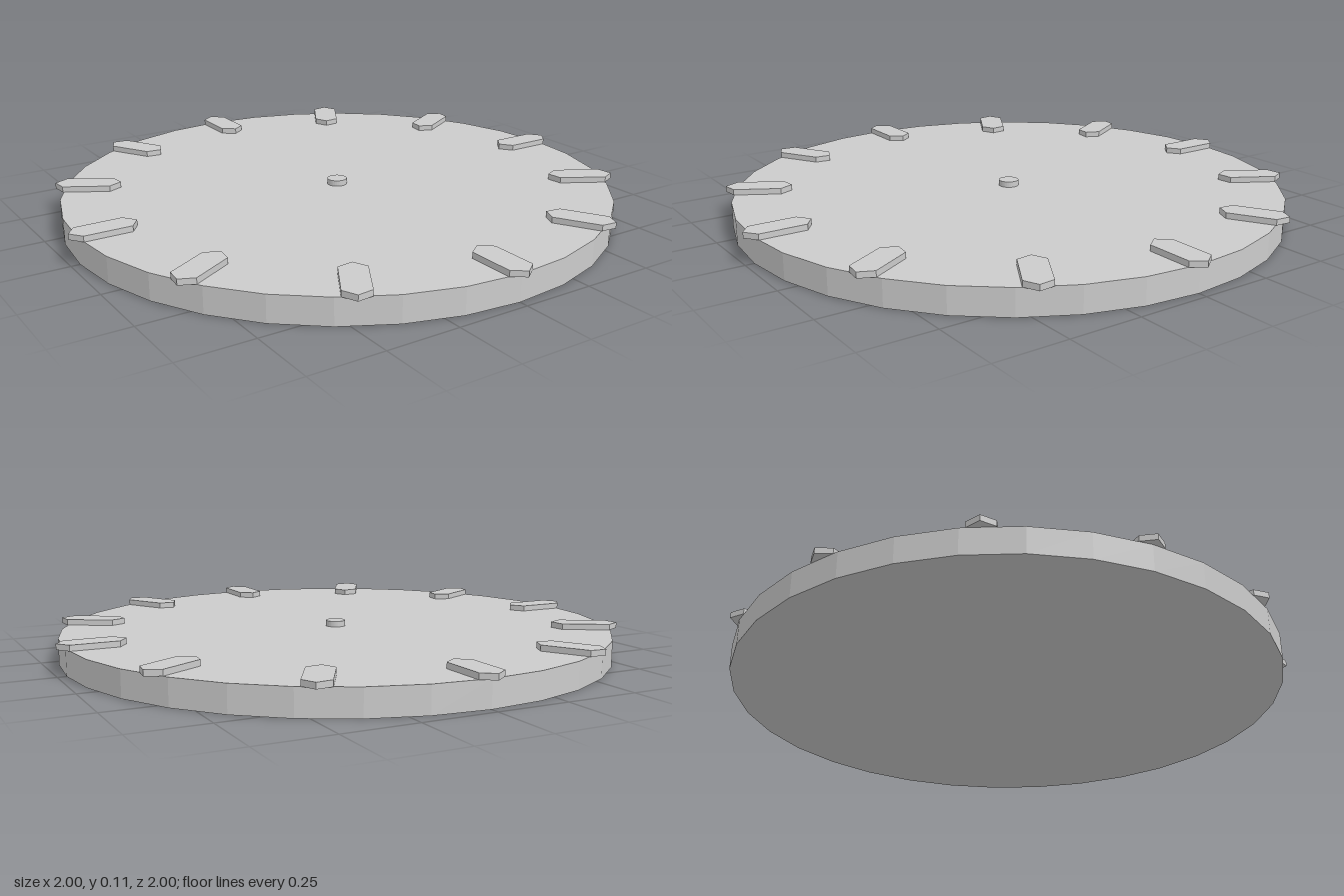
import * as THREE from 'three';

const material = new THREE.MeshStandardMaterial({ color: 0xcccccc, flatShading: true });
const DISC_HEIGHT = 0.09;
const RAISED = 0.02;

function addPart(group, name, geometry, y = 0) {
  const mesh = new THREE.Mesh(geometry, material);
  mesh.name = name;
  mesh.position.y = y;
  group.add(mesh);
  return mesh;
}

// Slim hexagonal bar pointing along +x, extruded upwards
function markerGeometry() {
  const inner = 0.77, outer = 1, tip = 0.033, half = 0.045;
  const shape = new THREE.Shape([
    [inner, 0], [inner + tip, -half], [outer - tip, -half],
    [outer, 0], [outer - tip, half], [inner + tip, half],
  ].map(([x, y]) => new THREE.Vector2(x, y)));
  return new THREE.ExtrudeGeometry(shape, { depth: RAISED, bevelEnabled: false }).rotateX(-Math.PI / 2);
}

export function createModel() {
  const model = new THREE.Group();
  model.name = 'dial';

  // Round plate
  addPart(model, 'plate', new THREE.CylinderGeometry(0.97, 0.97, DISC_HEIGHT, 32), DISC_HEIGHT / 2);

  // Centre pin
  addPart(model, 'centrePin', new THREE.CylinderGeometry(0.035, 0.035, RAISED, 32), DISC_HEIGHT + RAISED / 2);

  // Twelve hour markers around the rim
  const marker = markerGeometry();
  for (let i = 0; i < 12; i++) {
    addPart(model, `hourMarker${i + 1}`, marker, DISC_HEIGHT).rotation.y = (i * Math.PI) / 6;
  }

  return model;
}
